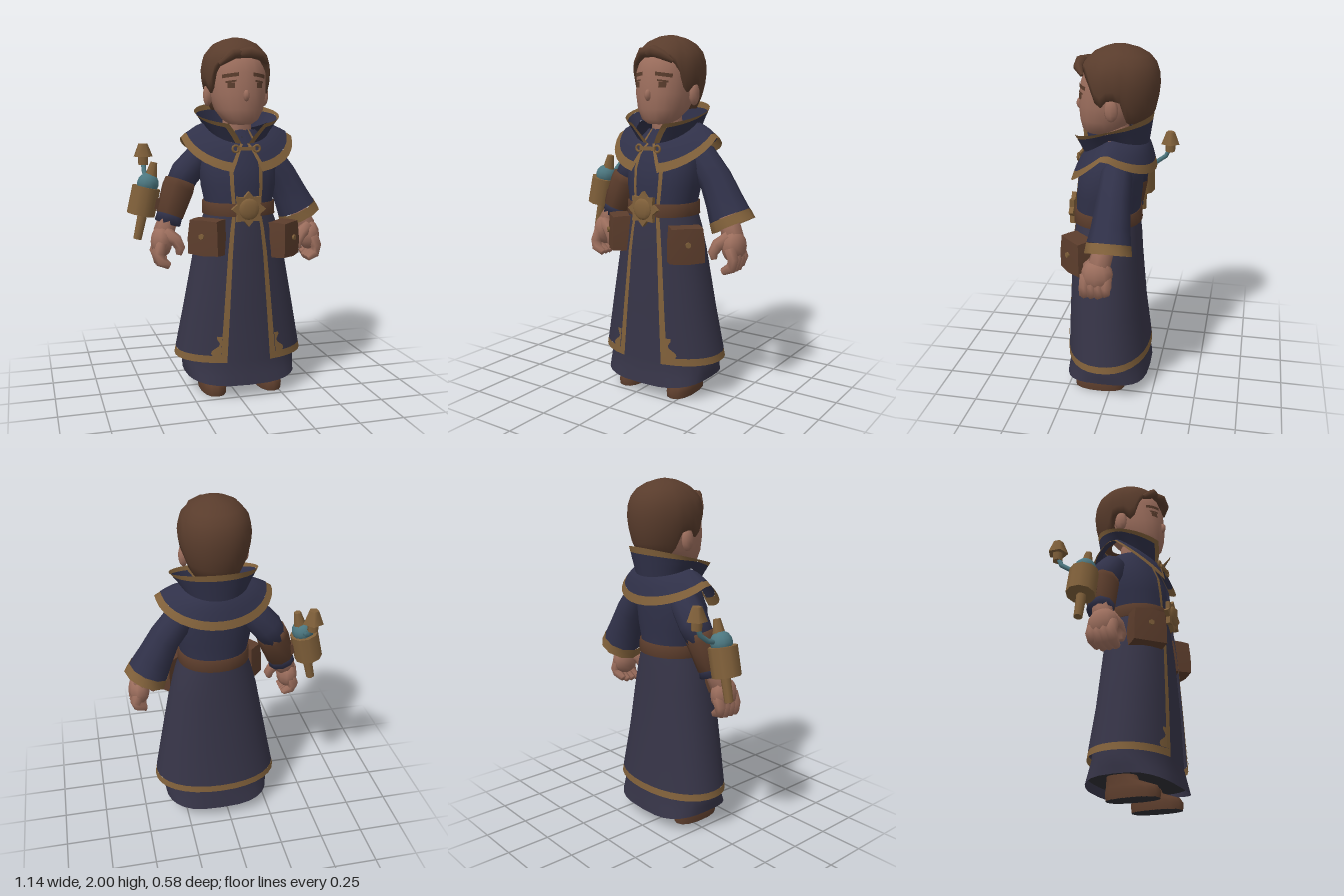
import * as THREE from 'three';
import { mergeVertices } from 'three/addons/utils/BufferGeometryUtils.js';

const PI = Math.PI;
const make = (name, color, side = THREE.FrontSide) => {
  const m = new THREE.MeshStandardMaterial({ color, side });
  m.name = name;
  return m;
};
const lin = (a, b, n) => Array.from({ length: n + 1 }, (_, i) => a + (b - a) * i / n);
const spow = (v, p) => Math.sign(v) * Math.abs(v) ** p;

// Smooth grid surface from a function of two parameters
function surf(fn, us, vs) {
  const pos = [], idx = [], w = us.length;
  vs.forEach(v => us.forEach(u => pos.push(...fn(u, v))));
  for (let j = 0; j < vs.length - 1; j++) for (let i = 0; i < w - 1; i++) {
    const a = j * w + i, c = a + w;
    idx.push(a, a + 1, c, a + 1, c + 1, c);
  }
  let g = new THREE.BufferGeometry();
  g.setAttribute('position', new THREE.Float32BufferAttribute(pos, 3));
  g.setIndex(idx);
  g = mergeVertices(g, 1e-4);
  g.computeVertexNormals();
  return g;
}

// Point on a stacked oval profile [y, halfWidth, zFront, zBack]; angle 0 is the front
function ring(list, t, y, p = 1, off = 0) {
  let i = 0;
  while (i < list.length - 2 && y > list[i + 1][0]) i++;
  const a = list[i], b = list[i + 1];
  const k = Math.min(1, Math.max(0, (y - a[0]) / (b[0] - a[0])));
  const [hw, zf, zb] = [1, 2, 3].map(n => a[n] + (b[n] - a[n]) * k);
  return [(hw + off) * spow(Math.sin(t), p), y, (zf + zb) / 2 + ((zf - zb) / 2 + off) * spow(Math.cos(t), p)];
}

// Tube through points [x, y, z, radius]
function tube(pts, n = 8, cap = true) {
  const P = pts.map(p => new THREE.Vector3(p[0], p[1], p[2])), last = P.length - 1;
  const fn = (t, v) => {
    const i = Math.min(last, Math.max(0, v)), r = i === v ? pts[i][3] : 0;
    const d = P[Math.min(last, i + 1)].clone().sub(P[Math.max(0, i - 1)]).normalize();
    const a = new THREE.Vector3(0, 0, 1).cross(d).normalize(), b = d.clone().cross(a);
    return P[i].clone().addScaledVector(a, r * Math.cos(t)).addScaledVector(b, r * Math.sin(t)).toArray();
  };
  return surf(fn, lin(0, 2 * PI, n), cap ? lin(-1, last + 1, last + 2) : lin(0, last, last));
}

const WAIST = 1.03, ROUND = .93;
const BODY = [[.21, .365, .265, -.205], [.5, .31, .255, -.17], [.82, .25, .24, -.145], [.95, .215, .23, -.138],
  [WAIST, .185, .22, -.13], [1.1, .188, .215, -.13], [1.18, .205, .212, -.138], [1.28, .21, .2, -.145], [1.4, .19, .15, -.15], [1.49, .1, .1, -.12]];
const INNER = [[.075, .325, .282, -.218], [.125, .33, .275, -.212], [.21, .34, .262, -.2], ...BODY.slice(1)];
const HEAD = [[1.52, .06, .155, .02], [1.545, .098, .182, -.03], [1.6, .133, .194, -.1], [1.68, .154, .2, -.16],
  [1.8, .162, .19, -.2], [1.88, .145, .16, -.18], [1.95, .08, .08, -.12]];
const HAIR = [[1.58, .13, .17, -.18], [1.66, .165, .19, -.215], [1.75, .187, .2, -.235], [1.83, .193, .2, -.24],
  [1.9, .175, .175, -.22], [1.96, .125, .11, -.17], [1.99, .06, .04, -.09], [2, 0, -.025, -.025]];
const HAIRLINE = [[0, 1.88], [.6, 1.87], [.9, 1.82], [1.15, 1.69], [1.3, 1.69], [1.45, 1.74], [1.75, 1.72], [1.95, 1.6], [PI, 1.59]];
const BOOT = [[0, .07, .215, -.08], [.035, .073, .22, -.085], [.065, .068, .2, -.08], [.1, .06, .1, -.075], [.2, .06, .06, -.07]];

export function createModel() {
  const root = new THREE.Group(), g = new THREE.Group();
  root.name = 'robedFigure';
  g.name = 'body';
  g.position.x = .05;
  root.add(g);
  const skin = make('skin', 0x9c6e5d), hairM = make('hair', 0x593c2c), leather = make('leather', 0x5c3d2c);
  const cape = make('capeCloth', 0x303149, THREE.DoubleSide), robe = make('robeCloth', 0x363447, THREE.DoubleSide);
  const gold = make('gold', 0x80603a, THREE.DoubleSide), teal = make('teal', 0x4c7780), dark = make('lining', 0x2f2f35, THREE.DoubleSide);
  const add = (name, geo, mat, x = 0, y = 0, z = 0, parent = g) => {
    const m = new THREE.Mesh(geo, mat);
    m.name = name;
    m.position.set(x, y, z);
    parent.add(m);
    return m;
  };
  const ys = list => list.map(r => r[0]);
  const full = lin(0, 2 * PI, 28);

  // Inner robe, squarer towards its arched hem and closed below by a dark lining
  const innerFn = (t, v) => {
    const low = Math.max(0, (.21 - v) / .135);
    const p = ring(INNER, t, v, ROUND - .25 * low, -.008);
    p[1] += .03 * Math.sin(t) ** 2 * low;
    return p;
  };
  add('innerRobe', surf(innerFn, full, ys(INNER).filter(y => y <= WAIST)), robe);
  add('innerBodice', surf(innerFn, full, ys(INNER).filter(y => y >= WAIST)), cape);
  add('robeLining', surf((t, k) => {
    const p = innerFn(t, .115);
    return [p[0] * k * .99, .125, p[2] * k * .99];
  }, full, [0, 1]), dark);

  // Open coat with gold front edges and hem
  const coat = (t, v) => ring(BODY, t, v, ROUND, .007), coatY = [.25, ...ys(BODY).slice(1)];
  const e0 = .315, e1 = .42, coatU = lin(e1, 2 * PI - e1, 28);
  add('coatSkirt', surf(coat, coatU, coatY.filter(y => y <= WAIST)), robe);
  add('coatBodice', surf(coat, coatU, coatY.filter(y => y >= WAIST)), cape);
  add('hemTrim', surf(coat, lin(e0, 2 * PI - e0, 28), [.21, .25]), gold);
  for (const s of [-1, 1]) {
    add('frontTrim', surf((t, v) => coat(s * t, v), [e0, e1], coatY), gold);
    add('cornerOrnament', surf((u, v) => ring(BODY, s * (e1 + u * (.14 - .1 * v + .05 * Math.sin(v * PI * 2.6))), .25 + v * .11, ROUND, .011),
      lin(0, 1, 3), lin(0, 1, 8)), gold);
  }

  // Belt and star buckle
  add('belt', surf((t, k) => ring(BODY, t, [1.022, 1.022, 1.092, 1.092][k], ROUND, [0, .018, .016, 0][k]), full, [0, 1, 2, 3]), leather);
  const star = new THREE.Shape(lin(0, 15, 15).map(i => {
    const r = i % 2 ? .07 : .097, a = i * PI / 8;
    return new THREE.Vector2(r * Math.sin(a), r * Math.cos(a));
  }));
  add('starBuckle', new THREE.ExtrudeGeometry(star, { depth: .025, bevelEnabled: false }), gold, 0, 1.065, .23);
  add('buckleDome', new THREE.SphereGeometry(.06, 12, 8).scale(1, 1, .3), gold, 0, 1.065, .252);

  // Shoulder cape and standing collar share one base ring
  const base = t => {
    const c = Math.cos(t);
    return [.19 * Math.sin(t), 1.53 - .115 * Math.max(c, 0) - .05 * Math.max(-c, 0), -.005 + .178 * c];
  };
  const blend = (a, b, k, ky = k) => a.map((q, i) => q + (b[i] - q) * (i === 1 ? ky : k));
  const capeFn = (u, v) => {
    const gap = .06 + .2 * v, t = gap + u * (2 * PI - 2 * gap), c = Math.cos(t);
    return blend(base(t), [.325 * Math.sin(t), 1.46 - (c > 0 ? .2 : .13) * Math.abs(c), .01 + .235 * c], v, v ** 1.4);
  };
  const collarFn = (u, v) => {
    const gap = .1 + .33 * v, t = gap + u * (2 * PI - 2 * gap), c = Math.cos(t);
    return blend(base(t), [.242 * Math.sin(t), 1.58 - .06 * c, .01 + .217 * c], v);
  };
  for (const [name, fn, k, e] of [['cape', capeFn, .76, .013], ['collar', collarFn, .77, .03]]) {
    add(name, surf(fn, lin(e, 1 - e, 32), lin(0, k, 3)), cape);
    add(name + 'Trim', surf(fn, lin(0, 1, 32), [k, 1]), gold);
    add(name + 'FrontTrim', surf(fn, [0, e], lin(0, k, 2)), gold);
    add(name + 'FrontTrim', surf(fn, [1 - e, 1], lin(0, k, 2)), gold);
  }
  add('shirtCollar', tube([[0, 1.36, .03, .12], [0, 1.44, .02, .095]], 12, false), dark);
  add('claspBar', new THREE.BoxGeometry(.1, .02, .015), gold, 0, 1.39, .2);
  for (const s of [-1, 1]) add('claspRing', new THREE.TorusGeometry(.018, .007, 6, 10), gold, s * .06, 1.39, .198);

  // Head and face
  add('neck', tube([[0, 1.4, .01, .09], [0, 1.6, .01, .08]], 10), skin);
  add('head', surf((t, v) => ring(HEAD, t, v, .92), lin(0, 2 * PI, 20), ys(HEAD)), skin);
  add('chin', new THREE.SphereGeometry(1, 10, 6).scale(.08, .025, .075), skin, 0, 1.54, .095);
  add('nose', new THREE.SphereGeometry(1, 8, 6).scale(.018, .032, .024), skin, 0, 1.675, .195);
  for (const s of [-1, 1]) {
    const patch = (x0, x1, y0, y1, slope) => surf((t, k) => ring(HEAD, t, (k ? y1 : y0) + slope * (Math.abs(t) - .5), .92, .004),
      s > 0 ? lin(x0, x1, 4) : lin(-x1, -x0, 4), [0, 1]);
    add('eye', patch(.36, .62, 1.715, 1.745, 0), hairM);
    add('eyelid', patch(.3, .68, 1.745, 1.755, -.02), hairM);
    add('eyebrow', patch(.22, .8, 1.773, 1.793, -.02), hairM);
    add('ear', new THREE.SphereGeometry(1, 8, 8).scale(.026, .062, .038), skin, s * .165, 1.68, -.005);
  }

  // Hair cap following the hairline, with swept locks
  const lineY = t => {
    const a = Math.abs(t);
    const i = Math.max(1, HAIRLINE.findIndex(h => h[0] >= a - 1e-9));
    const [p, q] = [HAIRLINE[i - 1], HAIRLINE[i]];
    return p[1] + (q[1] - p[1]) * (a - p[0]) / (q[0] - p[0]);
  };
  add('hair', surf((t, v) => {
    const y = lineY(t);
    return v < 0 ? ring(HAIR, t, y, .95, -.05) : ring(HAIR, t, y + (2 - y) * Math.sin(v * PI / 2), .95);
  }, lin(-PI, PI, 40), [-1, ...lin(0, 1, 9)]), hairM);
  add('frontLock', tube([[-.03, 1.9, .15, .03], [.03, 1.905, .182, .032], [.085, 1.885, .185, .026], [.13, 1.85, .155, .01]], 7), hairM);
  add('sideLock', tube([[.02, 1.905, .15, .03], [-.06, 1.9, .16, .03], [-.13, 1.845, .125, .015]], 7), hairM);

  // Arms: wide left sleeve, bracer on the right
  add('leftSleeve', tube([[.14, 1.38, -.04, .06], [.19, 1.345, -.04, .085], [.285, 1.22, -.04, .092], [.345, 1.1, -.038, .105], [.382, 1.022, -.035, .118]], 10, false), cape);
  add('leftCuffTrim', tube([[.382, 1.022, -.035, .12], [.406, .972, -.035, .127]], 10, false), gold);
  add('rightSleeve', tube([[-.14, 1.38, -.04, .06], [-.19, 1.345, -.045, .085], [-.285, 1.24, -.06, .088], [-.33, 1.16, -.05, .08]], 10), cape);
  add('bracer', tube([[-.315, 1.2, -.045, .088], [-.33, 1.16, -.04, .093], [-.385, 1.01, -.02, .08]], 9), leather);
  add('bracerCuff', tube([[-.38, 1.02, -.02, .074], [-.397, .965, -.02, .076]], 9), cape);

  // Hands with curled fingers
  for (const s of [-1, 1]) {
    const hand = new THREE.Group();
    hand.name = s > 0 ? 'leftHand' : 'rightHand';
    g.add(hand);
    const limb = (name, pts, n) => add(name, tube(pts.map(([x, y, z, r]) => [s * x, y, z, r]), n), skin, 0, 0, 0, hand);
    limb('wrist', [[.38, 1.03, -.02, .052], [.425, .92, .01, .062]], 8);
    add('palm', new THREE.SphereGeometry(1, 10, 8).scale(.062, .09, .086), skin, s * .44, .87, .018, hand);
    for (let i = 0; i < 4; i++) {
      const z = .078 - i * .037, d = i === 3 ? .015 : 0;
      limb('finger', [[.445, .87, z, .032], [.468, .81, z, .033], [.458, .765 + d, z + .005, .031], [.41, .74 + d, z + .01, .02]], 6);
    }
    limb('thumb', [[.425, .92, .045, .04], [.37, .88, .075, .036], [.348, .835, .085, .029], [.357, .8, .088, .016]], 7);
  }

  // Belt pouches turned outward, tapered to the top
  for (const s of [-1, 1]) {
    const p = new THREE.Group();
    p.name = s > 0 ? 'leftPouch' : 'rightPouch';
    p.position.set(s > 0 ? .23 : -.215, s > 0 ? .882 : .91, .176);
    p.rotation.y = s * PI / 4;
    g.add(p);
    const box = new THREE.BoxGeometry(.19, .195, .12, 2, 2, 2), a = box.attributes.position;
    for (let i = 0; i < a.count; i++) {
      const k = a.getY(i) > .05 ? .9 : 1, edge = Math.abs(a.getX(i)) > .05 && a.getZ(i) > .05 ? .85 : 1;
      a.setXYZ(i, a.getX(i) * k, a.getY(i) * edge ** .3, a.getZ(i) * k * edge);
    }
    box.computeVertexNormals();
    add('pouchBag', box, leather, 0, 0, 0, p);
    add('pouchStud', new THREE.CylinderGeometry(.016, .016, .02, 6).rotateX(PI / 2), gold, 0, .01, .06, p);
  }

  // Arm-mounted flask with pipe and valve
  const flask = add('flaskBarrel', new THREE.CylinderGeometry(.08, .08, .16, 10), gold, -.525, 1.09, -.065);
  flask.rotation.z = -.22;
  add('flaskDome', new THREE.SphereGeometry(.062, 12, 8), teal, .005, .1, 0, flask);
  add('flaskNeck', new THREE.CylinderGeometry(.02, .035, .08, 7), gold, .015, .185, 0, flask);
  add('flaskRod', new THREE.CylinderGeometry(.028, .024, .16, 8), gold, .01, -.14, 0, flask);
  add('flaskStrap', new THREE.BoxGeometry(.09, .06, .05), leather, .08, 0, .02, flask);
  add('pipe', tube([[-.495, 1.19, -.1, .014], [-.495, 1.21, -.16, .014], [-.495, 1.25, -.215, .014], [-.495, 1.31, -.24, .014]], 7), teal);
  add('valveStem', new THREE.CylinderGeometry(.03, .03, .06, 6), gold, -.495, 1.31, -.24);
  add('valveCap', new THREE.CylinderGeometry(.028, .058, .075, 5), gold, -.495, 1.365, -.24).rotation.y = .4;

  // Boots with dark soles
  for (const s of [-1, 1]) {
    add('boot', surf((t, v) => ring(BOOT, t, v, .85), lin(0, 2 * PI, 14), ys(BOOT)), leather, s * .165, 0, 0);
    add('sole', surf((t, k) => {
      const p = ring(BOOT, t, 0, .85, .001);
      return [p[0] * k, .001, .07 + (p[2] - .07) * k];
    }, lin(0, 2 * PI, 14), [0, 1]), dark, s * .165, 0, 0);
  }
  return root;
}
